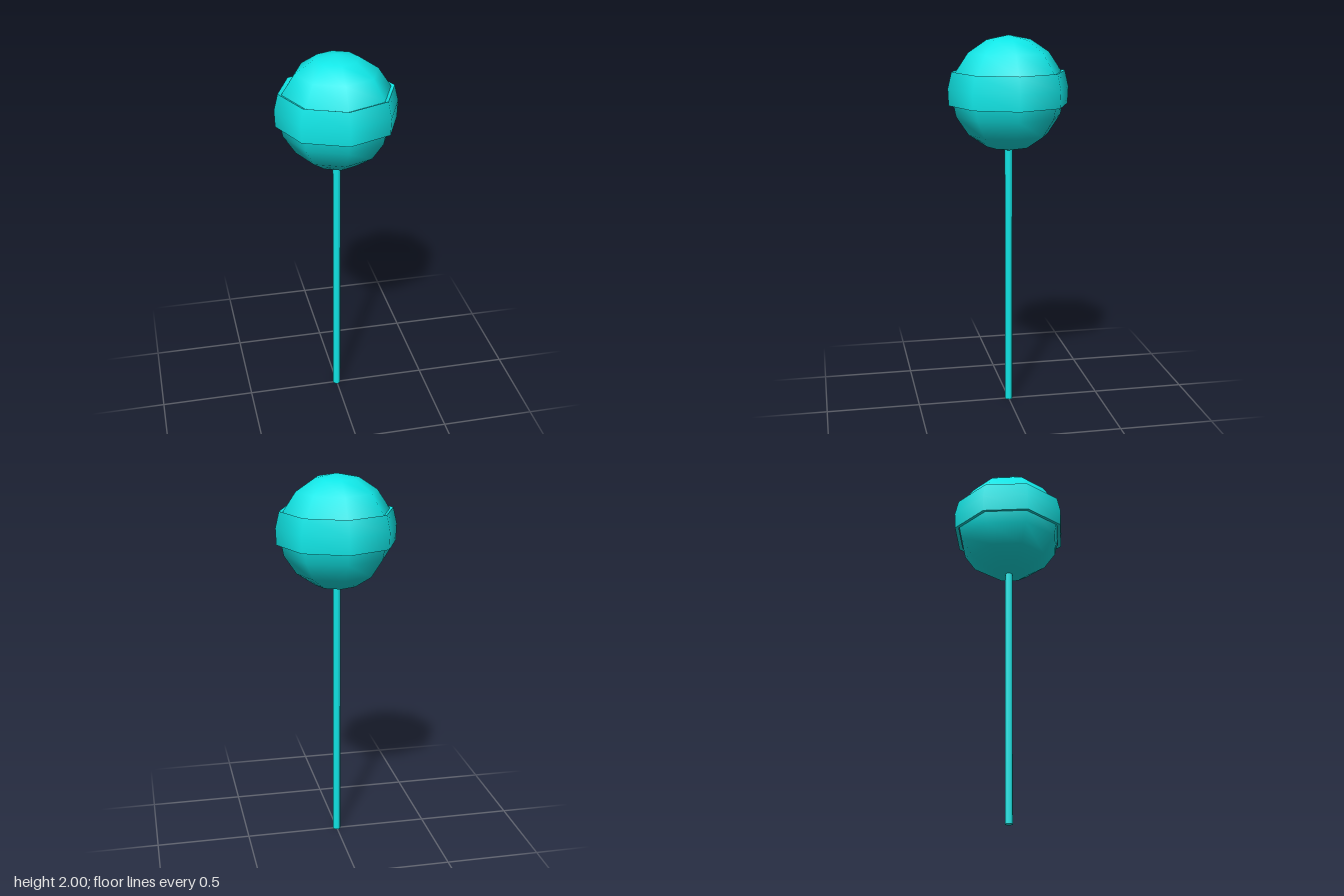
import * as THREE from 'three';

const SIDES = 8;
const CENTRE_Y = 1.7;

export function createModel() {
  const model = new THREE.Group();
  model.name = 'lollipop';
  const material = new THREE.MeshStandardMaterial({ color: 0x10e8e8 });

  const add = (parent, name, geometry, y) => {
    const mesh = new THREE.Mesh(geometry, material);
    mesh.name = name;
    mesh.position.y = y;
    parent.add(mesh);
  };

  // Candy ball
  add(model, 'candyBall', new THREE.SphereGeometry(0.3, SIDES, SIDES), CENTRE_Y);

  // Raised band hugging the ball: a slice of a larger sphere with a rim above and below
  const band = new THREE.Group();
  band.name = 'candyBand';
  model.add(band);
  const [inner, outer, top, bottom] = [0.298, 0.32, 1.2, 1.75];
  const at = (r, angle) => new THREE.Vector2(r * Math.sin(angle), r * Math.cos(angle));
  const strips = {
    bandLowerRim: [at(inner, bottom), at(outer, bottom)],
    bandOuterFace: [at(outer, bottom), at(outer, (top + bottom) / 2), at(outer, top)],
    bandUpperRim: [at(outer, top), at(inner, top)],
  };
  for (const [name, profile] of Object.entries(strips)) {
    add(band, name, new THREE.LatheGeometry(profile, SIDES), CENTRE_Y);
  }

  // Stick, its top end tucked into the ball
  const stickHeight = 1.42;
  add(model, 'stick', new THREE.CylinderGeometry(0.021, 0.021, stickHeight, SIDES), stickHeight / 2);

  return model;
}
